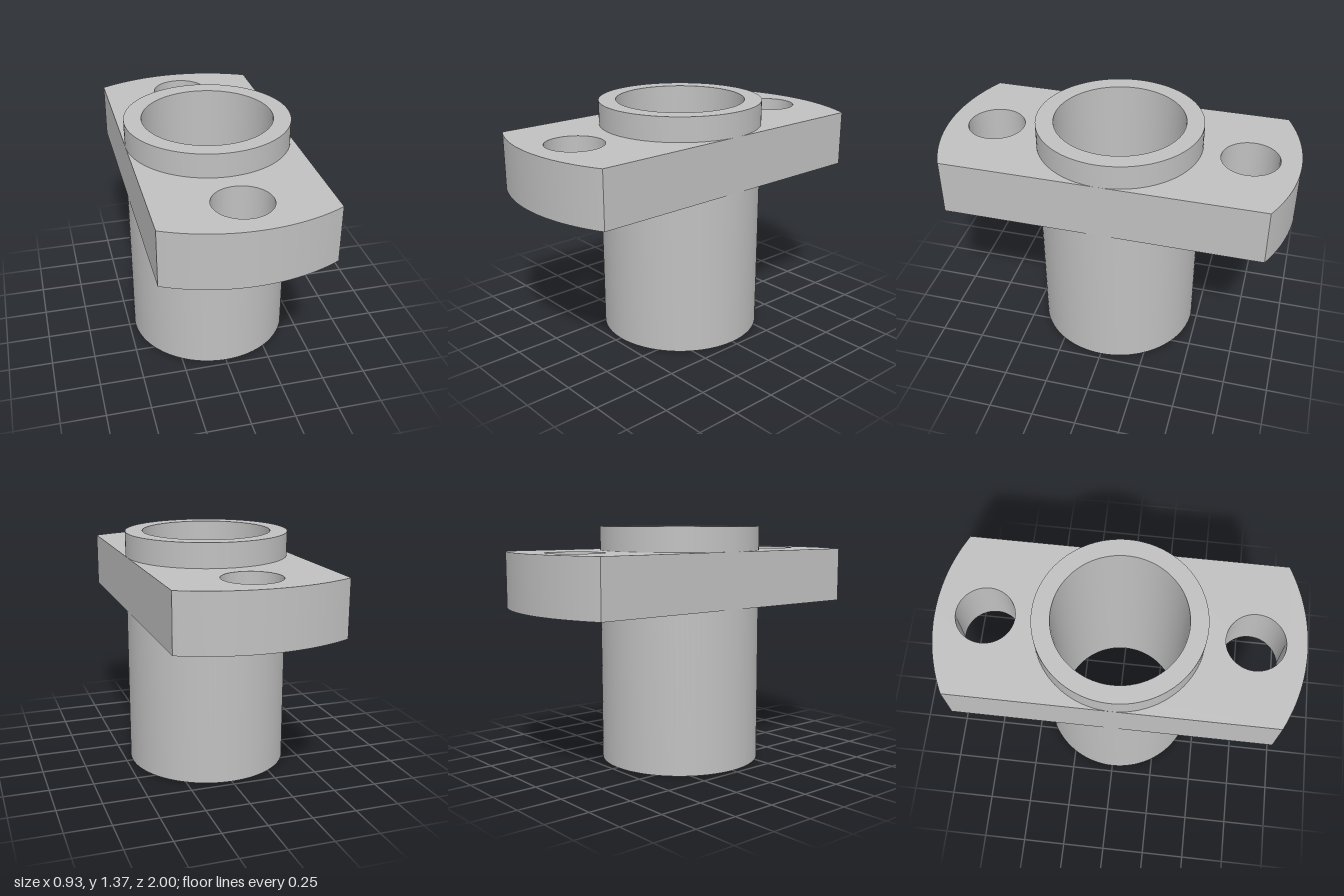
import * as THREE from 'three';
import { toCreasedNormals } from 'three/addons/utils/BufferGeometryUtils.js';

const OUTER = 0.463, BORE = 0.365, HEIGHT = 1.365;
const FLANGE_BOTTOM = 0.912, FLANGE_TOP = 1.228;
const BOLT_RADIUS = 0.161, BOLT_OFFSET = 0.727;

const circle = (x, y, r) => new THREE.Path().absarc(x, y, r, 0, Math.PI * 2, true);

export function createModel() {
  const group = new THREE.Group();
  group.name = 'flangedBushing';
  const metal = new THREE.MeshStandardMaterial({ color: 0xc0c0c0 });
  metal.name = 'grey metal';

  const add = (name, geometry) => {
    const mesh = new THREE.Mesh(toCreasedNormals(geometry, Math.PI / 6), metal);
    mesh.name = name;
    group.add(mesh);
    return mesh;
  };

  // Hollow sleeve: closed rectangular profile turned about y
  const profile = [[OUTER, 0], [OUTER, HEIGHT], [BORE, HEIGHT], [BORE, 0], [OUTER, 0]]
    .map(([r, y]) => new THREE.Vector2(r, y));
  add('sleeve', new THREE.LatheGeometry(profile, 96));

  // Flange: unit disc cut by two parallel flats, with two bolt holes
  const a = Math.acos(OUTER);
  const outline = new THREE.Shape();
  outline.absarc(0, 0, 1, a, Math.PI - a, false);
  outline.absarc(0, 0, 1, Math.PI + a, Math.PI * 2 - a, false);
  outline.closePath();
  // The centre opening ends inside the sleeve wall
  outline.holes.push(circle(0, 0, (OUTER + BORE) / 2));
  for (const side of [-1, 1]) outline.holes.push(circle(0, side * BOLT_OFFSET, BOLT_RADIUS));

  const flange = new THREE.ExtrudeGeometry(outline, {
    depth: FLANGE_TOP - FLANGE_BOTTOM, bevelEnabled: false, curveSegments: 64,
  });
  flange.rotateX(-Math.PI / 2);
  add('flange', flange).position.y = FLANGE_BOTTOM;

  return group;
}
